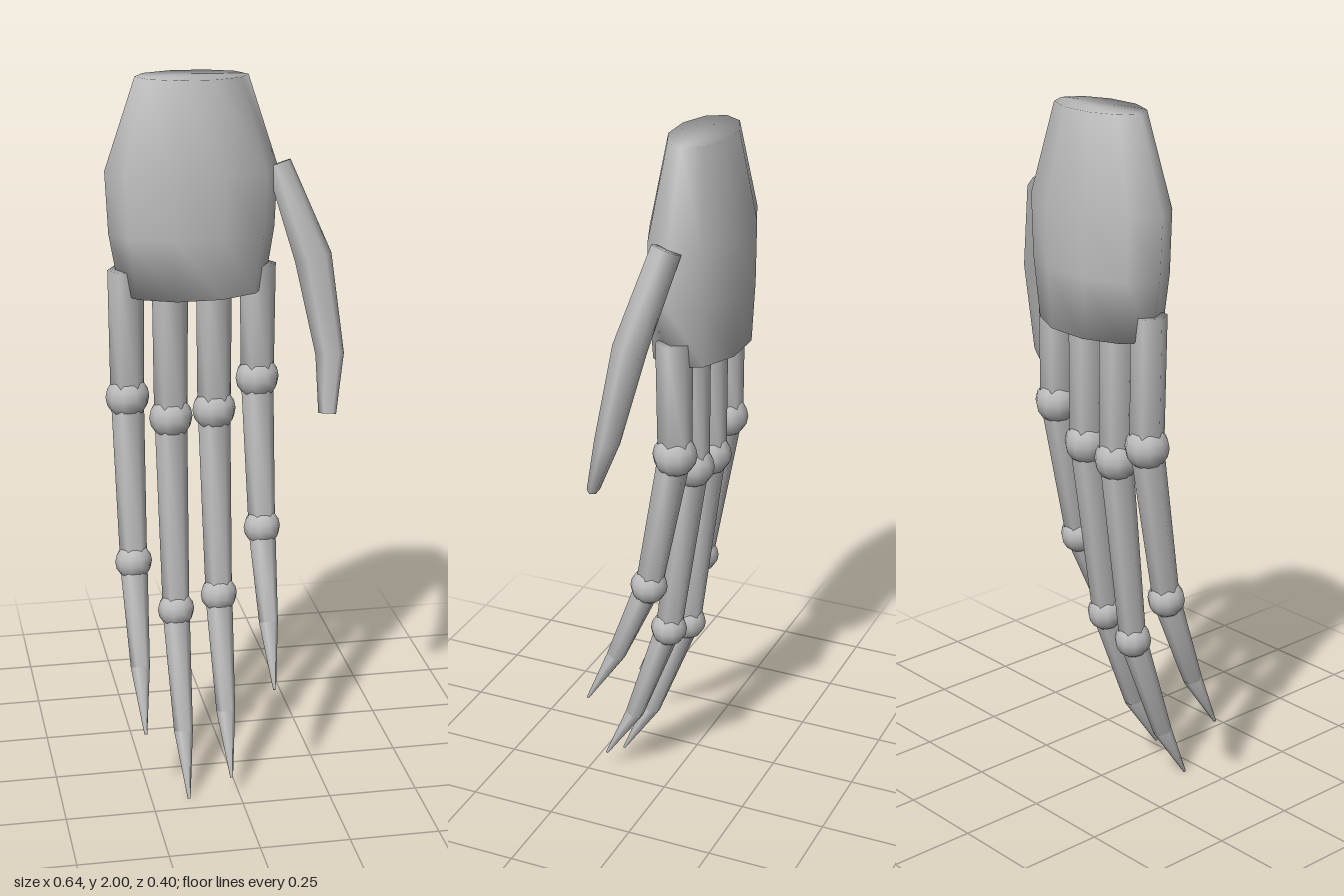
import * as THREE from 'three';

const bone = new THREE.MeshStandardMaterial({ color: 0xbcbcbc });
bone.name = 'paleGrey';

// Closed smooth loft along a path; each station is [x, y, z, radiusU, radiusV]
function loft(name, stations, sides) {
  const pts = stations.map((s) => new THREE.Vector3(s[0], s[1], s[2]));
  const pos = [];
  const index = [];
  const last = pts.length - 1;
  pts.forEach((p, i) => {
    const t = new THREE.Vector3();
    if (i > 0) t.add(p.clone().sub(pts[i - 1]).normalize());
    if (i < last) t.add(pts[i + 1].clone().sub(p).normalize());
    t.normalize();
    const u = new THREE.Vector3(1, 0, 0);
    u.addScaledVector(t, -u.dot(t)).normalize();
    const v = t.clone().cross(u);
    const ru = stations[i][3];
    const rv = stations[i][4] ?? ru;
    for (let j = 0; j < sides; j++) {
      const a = (j / sides) * Math.PI * 2;
      const q = p.clone().addScaledVector(u, ru * Math.cos(a)).addScaledVector(v, rv * Math.sin(a));
      pos.push(q.x, q.y, q.z);
    }
  });
  for (let i = 0; i < last; i++) {
    for (let j = 0; j < sides; j++) {
      const k = (j + 1) % sides;
      const a = i * sides + j, b = i * sides + k;
      index.push(a, b, a + sides, b, b + sides, a + sides);
    }
  }
  // End caps
  for (let j = 1; j < sides - 1; j++) {
    const e = last * sides;
    index.push(0, j + 1, j, e, e + j, e + j + 1);
  }
  const geo = new THREE.BufferGeometry();
  geo.setAttribute('position', new THREE.Float32BufferAttribute(pos, 3));
  geo.setIndex(index);
  geo.computeVertexNormals();
  const mesh = new THREE.Mesh(geo, bone);
  mesh.name = name;
  return mesh;
}

function knuckle(name, p, r) {
  const mesh = new THREE.Mesh(new THREE.SphereGeometry(r, 10, 8), bone);
  mesh.name = name;
  mesh.position.set(...p);
  return mesh;
}

// One finger: three tapered bones, two ball joints and a pointed claw
function finger(name, x, y1, y2, z2, yClaw, yTip) {
  const g = new THREE.Group();
  g.name = name;
  const base = [x, 1.48, -0.073];
  const j1 = [x, y1, -0.076];
  const j2 = [x, y2, z2];
  const claw = [x, yClaw, 0.105];
  const tip = [x, yTip, 0.197];
  g.add(
    loft('innerBone', [[...base, 0.05], [...j1, 0.047]], 6),
    knuckle('innerJoint', j1, 0.061),
    loft('middleBone', [[...j1, 0.046], [...j2, 0.038]], 6),
    knuckle('outerJoint', j2, 0.052),
    loft('outerBone', [[...j2, 0.039], [...claw, 0.027]], 6),
    loft('claw', [[...claw, 0.027], [...tip, 0.004]], 6),
  );
  return g;
}

export function createModel() {
  const model = new THREE.Group();
  model.name = 'hand';

  // Palm, narrowing to the wrist
  model.add(loft('palm', [
    [-0.081, 2, -0.077, 0.153, 0.084],
    [-0.083, 1.75, -0.077, 0.236, 0.129],
    [-0.083, 1.58, -0.077, 0.228, 0.129],
    [-0.082, 1.413, -0.077, 0.2, 0.124],
  ], 10));

  // Fingers
  model.add(
    finger('littleFinger', -0.266, 1.117, 0.656, 0, 0.38, 0.214),
    finger('ringFinger', -0.145, 1.05, 0.495, -0.012, 0.17, 0.002),
    finger('middleFinger', -0.023, 1.066, 0.536, -0.005, 0.222, 0.057),
    finger('indexFinger', 0.099, 1.153, 0.735, 0.002, 0.487, 0.32),
  );

  // Curved thumb
  model.add(loft('thumb', [
    [0.155, 1.755, -0.075, 0.035, 0.043],
    [0.24, 1.505, -0.01, 0.052, 0.046],
    [0.278, 1.245, 0.04, 0.04, 0.034],
    [0.262, 1.09, 0.09, 0.025, 0.016],
  ], 6));
  return model;
}
